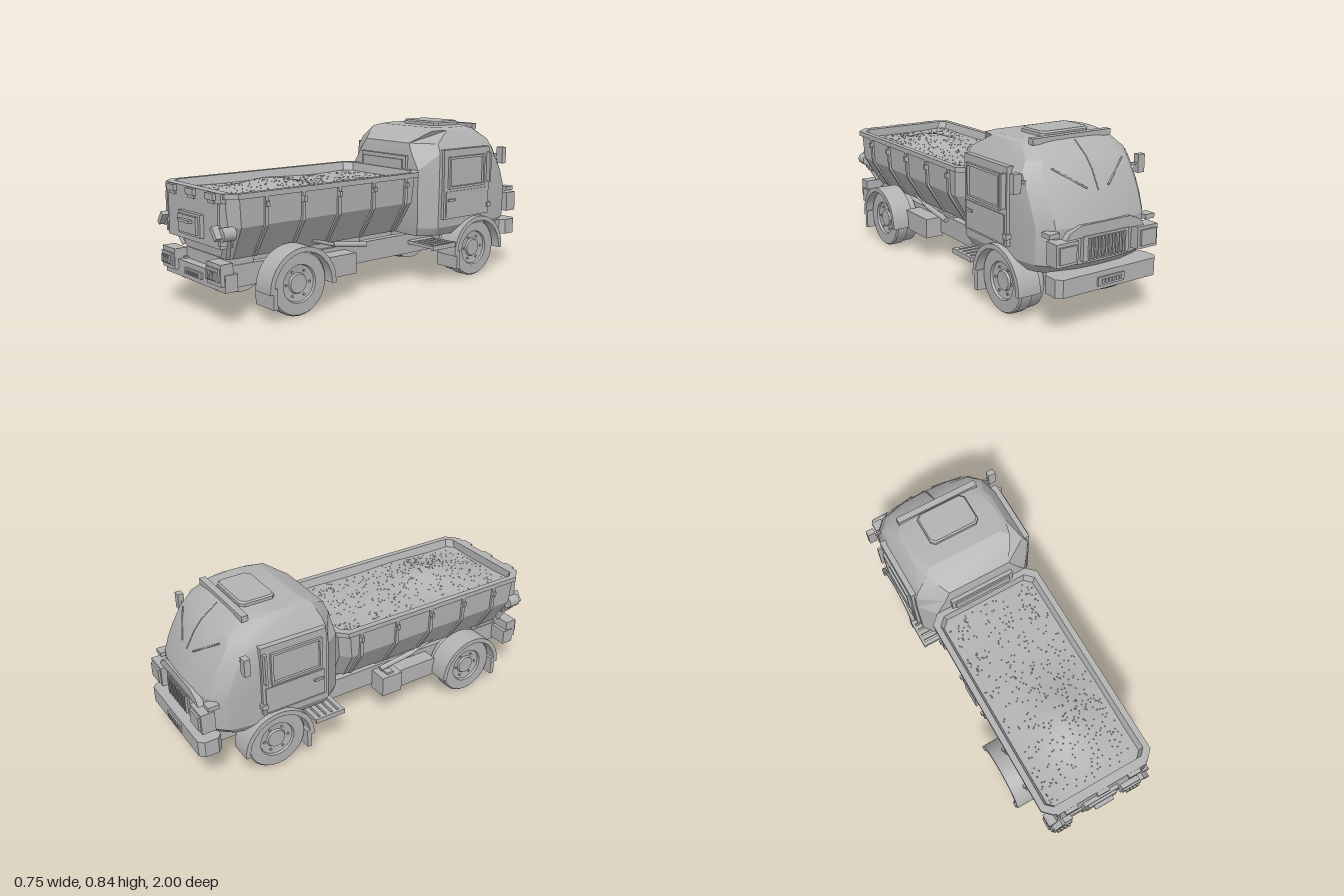
import * as THREE from 'three';
import { mergeGeometries, toCreasedNormals } from 'three/addons/utils/BufferGeometryUtils.js';

export function createModel() {
  const truck = new THREE.Group();
  truck.name = 'dumpTruck';
  const grey = new THREE.MeshStandardMaterial({ color: 0xb2b2b2 });
  grey.name = 'plain grey';

  const add = (name, geo) => {
    const m = new THREE.Mesh(geo, grey);
    m.name = name;
    truck.add(m);
    return m;
  };
  // Box given by its limits
  const box = (name, x0, x1, y0, y1, z0, z1) => {
    const m = add(name, new THREE.BoxGeometry(x1 - x0, y1 - y0, z1 - z0));
    m.position.set((x0 + x1) / 2, (y0 + y1) / 2, (z0 + z1) / 2);
    return m;
  };
  // The same box on both sides
  const pair = (name, x0, x1, ...rest) => {
    box(name + 'Left', x0, x1, ...rest);
    box(name + 'Right', -x1, -x0, ...rest);
  };
  // Round bar between two points
  const rod = (name, a, b, r) => {
    const p = new THREE.Vector3(...a), q = new THREE.Vector3(...b);
    const m = add(name, new THREE.CylinderGeometry(r, r, p.distanceTo(q), 12));
    m.position.copy(p).add(q).multiplyScalar(0.5);
    m.quaternion.setFromUnitVectors(new THREE.Vector3(0, 1, 0), q.sub(p).normalize());
    return m;
  };
  // Skin over rings of points, counted from +x towards +z, lowest ring first
  const loft = (rings, crease = 0.3) => {
    const n = rings[0].length, pos = rings.flat(2), idx = [];
    const cap = (ring, start, up) => {
      const c = pos.length / 3;
      pos.push(0, ring[0][1], ring.reduce((s, p) => s + p[2], 0) / n);
      for (let j = 0; j < n; j++) {
        const a = start + j, b = start + (j + 1) % n;
        idx.push(c, up ? b : a, up ? a : b);
      }
    };
    for (let i = 0; i < rings.length - 1; i++) for (let j = 0; j < n; j++) {
      const a = i * n + j, b = i * n + (j + 1) % n;
      idx.push(a, a + n, b, b, a + n, b + n);
    }
    cap(rings[0], 0, false);
    cap(rings[rings.length - 1], (rings.length - 1) * n, true);
    const g = new THREE.BufferGeometry();
    g.setAttribute('position', new THREE.Float32BufferAttribute(pos, 3));
    g.setIndex(idx);
    return toCreasedNormals(g, crease);
  };
  // Mirrors the +x half of a ring, listed from -z to +z
  const whole = half => [...half, ...half.slice().reverse().filter(p => p[0] > 0).map(p => [-p[0], p[1], p[2]])];
  // Rectangle with cut corners
  const cutRect = (y, w, z0, z1, c) => whole([[w - c, y, z0], [w, y, z0 + c], [w, y, z1 - c], [w - c, y, z1]]);
  const shapeOf = pts => new THREE.Shape(pts.map(p => new THREE.Vector2(...p)));

  // Cab shell: y, half width, width of back face, back z, nose z
  const cabRows = [
    [0.255, 0.295, 0.24, -0.24, -0.9], [0.3, 0.322, 0.255, -0.23, -0.94], [0.47, 0.326, 0.255, -0.23, -0.945],
    [0.54, 0.328, 0.255, -0.23, -0.92], [0.605, 0.328, 0.255, -0.23, -0.89], [0.69, 0.325, 0.2, -0.235, -0.842],
    [0.74, 0.298, 0.17, -0.245, -0.8], [0.802, 0.258, 0.235, -0.35, -0.715], [0.815, 0.236, 0.2, -0.385, -0.67]];
  add('cabShell', loft(cabRows.map(([y, w, wb, zb, zf]) => {
    const k = y > 0.7 ? 0.7 : 1;
    return whole([[0, y, zf], [w * 0.4, y, zf + 0.006 * k], [w * 0.76, y, zf + 0.035 * k], [w * 0.94, y, zf + 0.1 * k],
      [w, y, zf + 0.2 * k], [w, y, zb - 0.085], [wb, y, zb]]);
  }), 0.35));
  // Point on the windscreen
  const screen = (x, y, lift) => {
    const i = cabRows.findIndex(r => r[0] >= y), a = cabRows[i - 1], b = cabRows[i];
    const t = (y - a[0]) / (b[0] - a[0]), w = a[1] + t * (b[1] - a[1]);
    return [x, y, a[4] + t * (b[4] - a[4]) + 0.1 * Math.pow(Math.abs(x) / w, 4) - lift];
  };
  const dividerY = [0.605, 0.69, 0.74, 0.8];
  for (let i = 0; i < 3; i++) rod('screenDivider', screen(0, dividerY[i], 0), screen(0, dividerY[i + 1], 0), 0.003);
  for (const s of [1, -1]) rod('wiper', screen(s * 0.06, 0.62, 0.003), screen(s * 0.2, 0.71, 0.002), 0.004);
  box('sunVisor', -0.222, 0.222, 0.795, 0.824, -0.703, -0.67);
  add('roofHatch', loft([cutRect(0.81, 0.135, -0.66, -0.478, 0.02), cutRect(0.83, 0.135, -0.66, -0.478, 0.02),
    cutRect(0.838, 0.129, -0.652, -0.485, 0.02)]));

  // Rear cab window
  box('rearWindowFrame', -0.175, 0.175, 0.49, 0.675, -0.24, -0.215);
  box('rearWindowPane', -0.155, 0.155, 0.51, 0.655, -0.22, -0.208);

  // Doors with windows, handles and mirrors
  pair('door', 0.3, 0.342, 0.345, 0.71, -0.68, -0.335);
  pair('doorPanel', 0.3, 0.347, 0.355, 0.49, -0.665, -0.35);
  pair('windowBar', 0.335, 0.355, 0.66, 0.672, -0.635, -0.365);
  pair('windowSill', 0.335, 0.355, 0.505, 0.517, -0.635, -0.365);
  pair('windowFrontPost', 0.335, 0.355, 0.505, 0.672, -0.635, -0.623);
  pair('windowRearPost', 0.335, 0.355, 0.505, 0.672, -0.377, -0.365);
  pair('grabRail', 0.34, 0.366, 0.52, 0.68, -0.672, -0.66);
  pair('doorHandle', 0.34, 0.357, 0.44, 0.452, -0.41, -0.36);
  pair('doorHinge', 0.32, 0.352, 0.38, 0.405, -0.69, -0.66);
  pair('mirrorArm', 0.28, 0.36, 0.65, 0.662, -0.765, -0.755);
  pair('mirror', 0.335, 0.375, 0.612, 0.7, -0.778, -0.748);
  pair('sideLamp', 0.245, 0.3, 0.44, 0.462, -0.935, -0.88);

  // Nose: panel, grille, headlamps and bumper
  const nosePanel = shapeOf([[-0.22, 0.425], [0.22, 0.425], [0.2, 0.455], [0.14, 0.48], [-0.14, 0.48], [-0.2, 0.455]]);
  add('nosePanel', new THREE.ExtrudeGeometry(nosePanel, { depth: 0.04, bevelEnabled: false })).position.z = -0.951;
  box('grilleFrame', -0.13, 0.13, 0.315, 0.43, -0.955, -0.92);
  for (let i = 0; i < 11; i++) box('grilleBar', -0.104 + i * 0.02, -0.096 + i * 0.02, 0.325, 0.42, -0.966, -0.95);
  pair('headlampHousing', 0.17, 0.288, 0.32, 0.425, -0.97, -0.9);
  pair('headlamp', 0.185, 0.275, 0.335, 0.41, -0.98, -0.96);
  add('cabBumper', loft([cutRect(0.187, 0.287, -0.988, -0.87, 0.025), cutRect(0.27, 0.287, -0.988, -0.87, 0.025)]));
  box('cabPlate', -0.075, 0.075, 0.205, 0.245, -0.996, -0.98);
  for (let i = 0; i < 6; i++) box('plateMark', -0.058 + i * 0.02, -0.046 + i * 0.02, 0.215, 0.235, -1, -0.995);

  // Tipper bed: outside wall, rim, inside wall
  add('bed', loft([cutRect(0.29, 0.19, -0.182, 0.895, 0.04), cutRect(0.45, 0.287, -0.2, 0.912, 0.045),
    cutRect(0.58, 0.293, -0.213, 0.922, 0.045), cutRect(0.58, 0.305, -0.23, 0.935, 0.045),
    cutRect(0.605, 0.305, -0.23, 0.935, 0.045), cutRect(0.605, 0.275, -0.2, 0.91, 0.04),
    cutRect(0.53, 0.25, -0.185, 0.895, 0.035)]));
  // Ribs follow the folded side wall
  const ribShape = shapeOf([[0.17, 0.29], [0.198, 0.29], [0.299, 0.448], [0.304, 0.585], [0.27, 0.585], [0.27, 0.44]]);
  for (const z of [0.74, 0.535, 0.325, 0.11, -0.105]) for (const s of [1, -1]) {
    const rib = add('bedRib', new THREE.ExtrudeGeometry(ribShape, { depth: 0.018, bevelEnabled: false }));
    if (s < 0) rib.rotation.y = Math.PI;
    rib.position.z = z - s * 0.009;
    box('bedHook', s * 0.305 - 0.009, s * 0.305 + 0.009, 0.535, 0.56, z - 0.008, z + 0.008);
  }

  // Heaped load with pebbles
  const heap = (x, z) => 0.562 + 0.006 * Math.sin(x * 9 + z * 5) * Math.cos(z * 7)
    + 0.056 * Math.exp(-((x - 0.02) ** 2 / 0.022 + (z - 0.53) ** 2 / 0.04));
  const load = new THREE.PlaneGeometry(0.52, 1.1, 20, 40).rotateX(-Math.PI / 2).translate(0, 0, 0.355);
  const lp = load.attributes.position;
  for (let i = 0; i < lp.count; i++) lp.setY(i, heap(lp.getX(i), lp.getZ(i)));
  load.computeVertexNormals();
  add('load', load);
  let seed = 7;
  const rnd = () => (seed = (seed * 16807) % 2147483647) / 2147483647;
  const pebbles = [];
  for (let i = 0; i < 480; i++) {
    const x = (rnd() - 0.5) * 0.49, z = -0.17 + rnd() * 1.05;
    pebbles.push(new THREE.OctahedronGeometry(0.004).rotateY(rnd() * 3).translate(x, heap(x, z), z));
  }
  add('pebbles', mergeGeometries(pebbles));

  // Tailgate with hinges, plate and latches
  box('tailgate', -0.235, 0.235, 0.355, 0.56, 0.88, 0.945);
  box('tailgateTopRail', -0.25, 0.25, 0.56, 0.605, 0.9, 0.945);
  pair('tailgateEdge', 0.227, 0.245, 0.37, 0.56, 0.89, 0.95);
  for (const x of [-0.175, 0, 0.175]) {
    box('hinge', x - 0.033, x + 0.033, 0.572, 0.602, 0.93, 0.963);
    box('hingeFoot', x - 0.027, x + 0.027, 0.556, 0.575, 0.93, 0.953);
  }
  box('tailPlate', -0.098, 0.098, 0.385, 0.492, 0.94, 0.965);
  box('tailPlateFace', -0.08, 0.08, 0.398, 0.48, 0.96, 0.978);
  box('tailHandle', -0.052, 0.052, 0.45, 0.463, 0.975, 0.998);
  for (const s of [1, -1]) {
    rod('latchPivot', [s * 0.257, 0.425, 0.89], [s * 0.257, 0.425, 0.955], 0.032);
    box('latchLever', s * 0.243 - 0.012, s * 0.243 + 0.012, 0.4, 0.465, 0.95, 0.985).rotation.z = s * 0.65;
    rod('latchRod', [s * 0.255, 0.4, 0.91], [s * 0.2, 0.3, 0.885], 0.009);
  }

  // Chassis
  pair('frameRail', 0.13, 0.17, 0.15, 0.255, -0.88, 0.92);
  for (const z of [-0.78, -0.42, 0.3, 0.85]) box('crossMember', -0.14, 0.14, 0.165, 0.225, z - 0.025, z + 0.025);
  pair('bedMountRear', 0.1, 0.165, 0.25, 0.295, 0.73, 0.89);
  pair('bedMountMiddle', 0.1, 0.155, 0.25, 0.295, 0.08, 0.4);
  box('tailBeam', -0.15, 0.15, 0.24, 0.3, 0.8, 0.9);
  for (const s of [1, -1]) {
    rod('tipCylinder', [s * 0.2, 0.25, 0.08], [s * 0.2, 0.28, 0.29], 0.014);
    rod('tipRam', [s * 0.2, 0.28, 0.29], [s * 0.2, 0.32, 0.42], 0.009);
  }
  box('toolBox', 0.16, 0.26, 0.13, 0.235, 0.19, 0.42);
  box('fuelTank', -0.27, -0.16, 0.125, 0.235, 0.05, 0.17);
  box('airTank', -0.25, -0.16, 0.13, 0.23, 0.17, 0.4);
  box('tankCap', -0.25, -0.21, 0.235, 0.245, 0.09, 0.13);

  // Slatted steps behind the cab
  pair('stepRailInner', 0.16, 0.21, 0.2, 0.22, -0.41, -0.245);
  pair('stepRailOuter', 0.345, 0.36, 0.195, 0.22, -0.41, -0.245);
  for (let i = 0; i < 5; i++) pair('stepSlat', 0.19, 0.355, 0.202, 0.218, -0.41 + i * 0.0355, -0.387 + i * 0.0355);

  // Tail bumper and lamps
  box('tailBumper', -0.27, 0.27, 0.165, 0.245, 0.88, 0.945);
  pair('tailLampBox', 0.148, 0.265, 0.195, 0.295, 0.9, 0.965);
  pair('tailLampFace', 0.155, 0.258, 0.215, 0.275, 0.96, 0.975);
  for (let i = 0; i < 4; i++) pair('tailLampBar', 0.17 + i * 0.02, 0.184 + i * 0.02, 0.223, 0.262, 0.97, 0.985);
  box('tailNumberPlate', -0.076, 0.076, 0.19, 0.22, 0.94, 0.955);
  for (let i = 0; i < 6; i++) box('plateMark', -0.056 + i * 0.02, -0.048 + i * 0.02, 0.196, 0.212, 0.954, 0.96);

  // Wheels, arches and mud flaps
  const tyre = [[0.06, -0.055], [0.09, -0.067], [0.145, -0.067], [0.148, -0.002], [0.155, 0.002], [0.155, 0.058], [0.148, 0.067],
    [0.092, 0.067], [0.088, 0.055], [0.05, 0.05], [0.045, 0.06], [0, 0.06]].map(p => new THREE.Vector2(...p));
  const wheelGeo = toCreasedNormals(new THREE.LatheGeometry(tyre, 28).rotateZ(-Math.PI / 2), 0.4);
  const arch = new THREE.Shape();
  arch.absarc(0, 0, 0.187, -0.05, Math.PI + 0.05, false);
  arch.absarc(0, 0, 0.163, Math.PI + 0.05, -0.05, true);
  const archGeo = toCreasedNormals(new THREE.ExtrudeGeometry(arch, { depth: 0.12, bevelEnabled: false, curveSegments: 14 })
    .translate(0, 0, -0.06).rotateY(Math.PI / 2), 0.4);
  for (const z of [0.577, -0.603]) {
    rod('axle', [-0.22, 0.15, z], [0.22, 0.15, z], 0.03);
    for (const s of [1, -1]) {
      const wheel = add('wheel', wheelGeo);
      wheel.position.set(s * 0.248, 0.155, z);
      if (s < 0) wheel.rotation.y = Math.PI;
      for (let i = 0; i < 6; i++) {
        const a = i * Math.PI / 3, y = 0.155 + 0.066 * Math.sin(a), w = z + 0.066 * Math.cos(a);
        rod('wheelNut', [s * 0.29, y, w], [s * 0.307, y, w], 0.006);
      }
      add('wheelArch', archGeo).position.set(s * 0.292, 0.148, z);
    }
    pair('mudFlap', 0.205, 0.352, 0.067, 0.165, z + 0.147, z + 0.17);
  }
  return truck;
}
